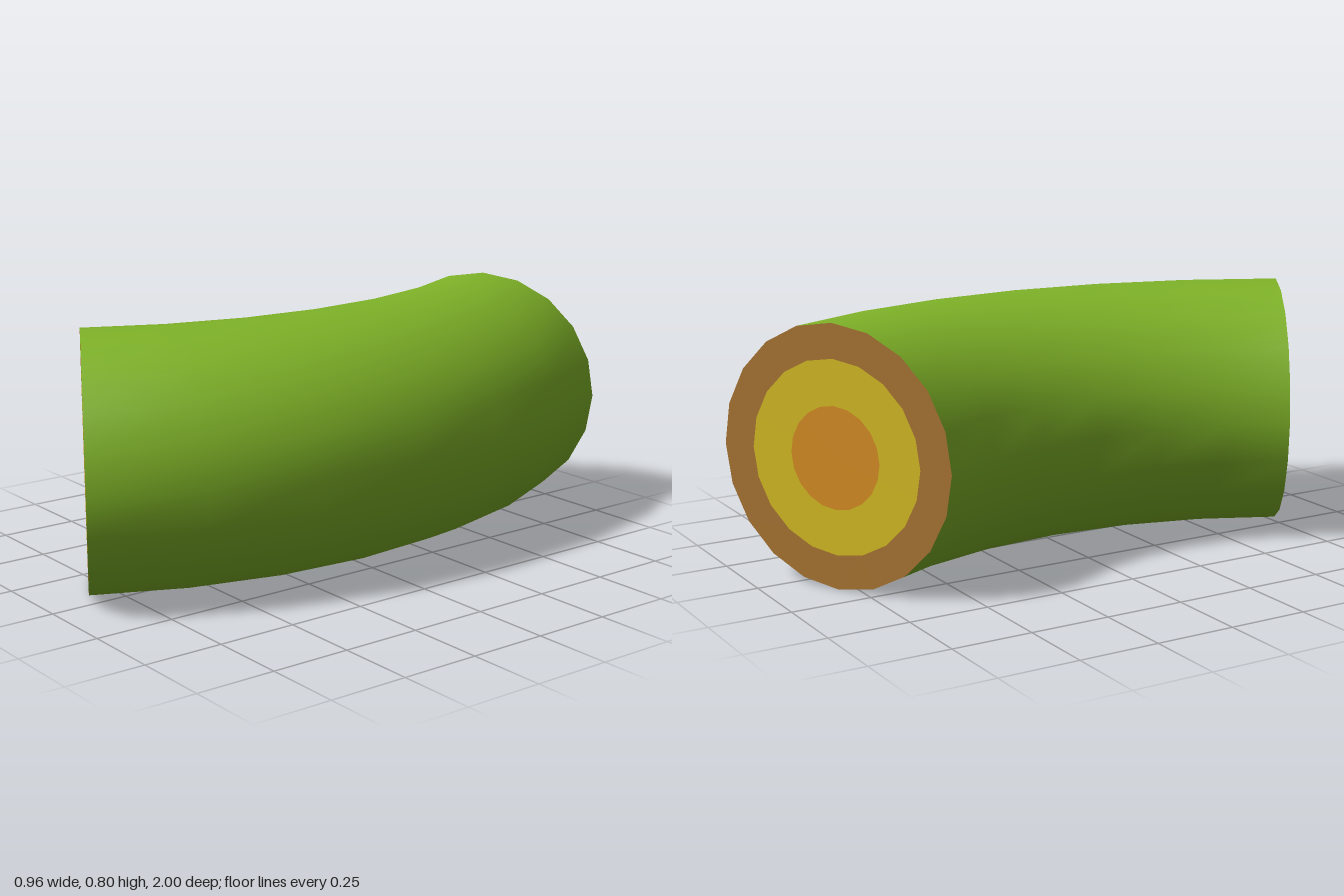
import * as THREE from 'three';

const BEND = 1.6;          // radius of the bend's centre line
const TUBE = 0.4;          // radius of the tube
const ARC = Math.PI / 3;   // sweep of the bend
const SIDES = 20;
const CENTRE_X = -1.519;   // x of the bend's centre

const material = (name, color) => {
  const m = new THREE.MeshStandardMaterial({ color });
  m.name = name;
  return m;
};

export function createModel() {
  const green = material('green skin', 0x80b428);
  const layers = [
    { name: 'outerLayer', inner: 0.295, outer: TUBE, mat: material('brown layer', 0xa67331) },
    { name: 'middleLayer', inner: 0.156, outer: 0.295, mat: material('yellow layer', 0xd1b823) },
    { name: 'core', inner: 0, outer: 0.156, mat: material('orange core', 0xd38a23) },
  ];
  const model = new THREE.Group();
  model.name = 'bentTube';

  // curved skin, swept symmetrically about z = 0
  const skinGeo = new THREE.TorusGeometry(BEND, TUBE, SIDES, 6, ARC);
  skinGeo.rotateZ(-ARC / 2).rotateX(Math.PI / 2).translate(CENTRE_X, TUBE, 0);
  const skin = new THREE.Mesh(skinGeo, green);
  skin.name = 'skin';
  model.add(skin);

  // flat concentric layers closing each end
  for (const side of [1, -1]) {
    const end = new THREE.Group();
    end.name = side > 0 ? 'frontEnd' : 'backEnd';
    end.position.set(CENTRE_X + BEND * Math.cos(ARC / 2), TUBE, side * BEND * Math.sin(ARC / 2));
    end.rotation.y = side > 0 ? -ARC / 2 : Math.PI + ARC / 2;
    for (const { name, inner, outer, mat } of layers) {
      const geo = inner > 0
        ? new THREE.RingGeometry(inner, outer, SIDES)
        : new THREE.CircleGeometry(outer, SIDES);
      const layer = new THREE.Mesh(geo, mat);
      layer.name = name;
      end.add(layer);
    }
    model.add(end);
  }
  return model;
}
